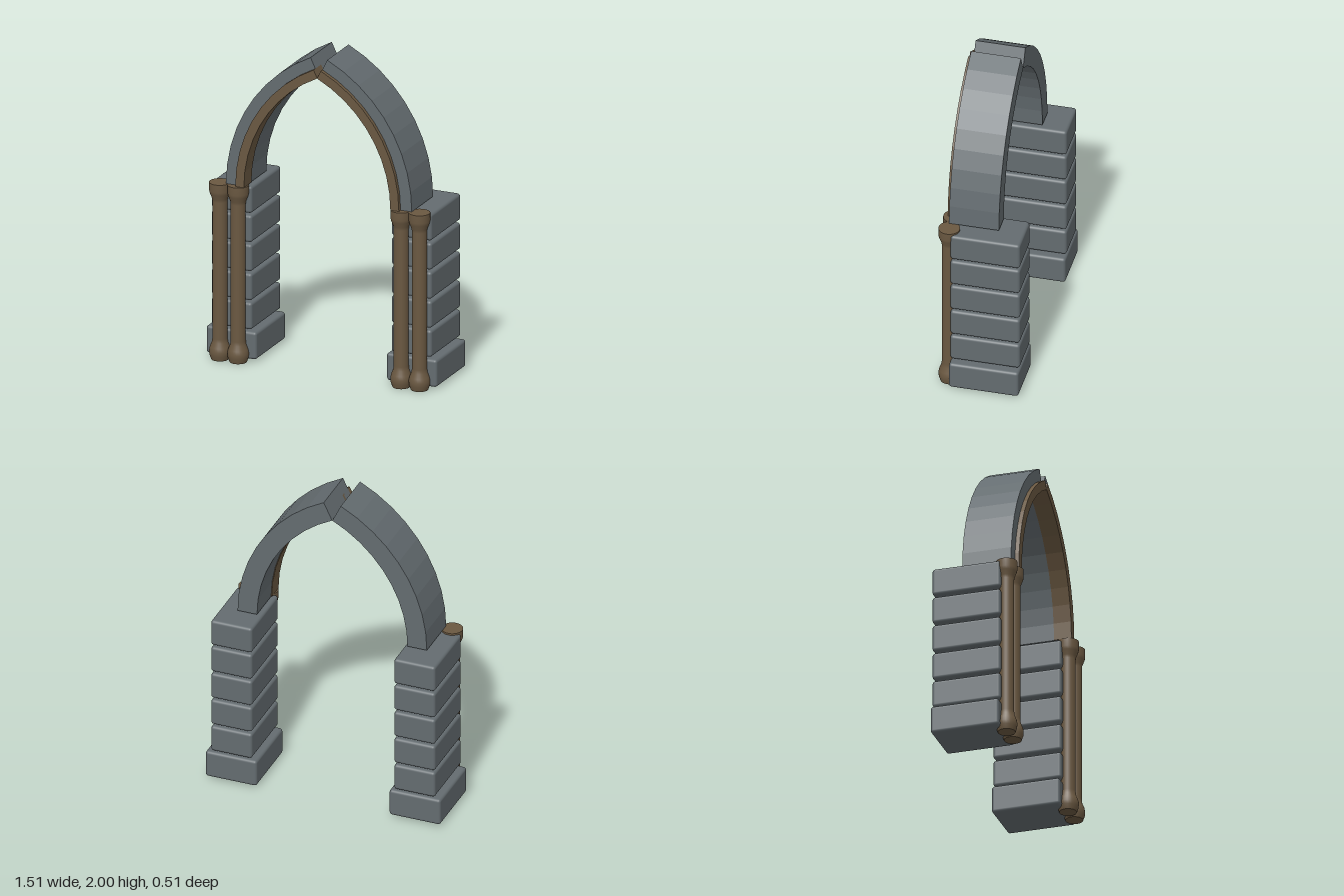
import * as THREE from 'three';
import { RoundedBoxGeometry } from 'three/addons/geometries/RoundedBoxGeometry.js';

const stone = new THREE.MeshStandardMaterial({ color: 0x646c70 });
stone.name = 'grey stone';
const wood = new THREE.MeshStandardMaterial({ color: 0x6a5841 });
wood.name = 'brown stone';

const SPRING = 1.12;                       // height where the arch starts
const CENTRE = -0.365;                     // arc centre of the +x half
const SWEEP = THREE.MathUtils.degToRad(64.5);
const COUNT = 9;                           // wedges in each half

function add(parent, name, geometry, material, x = 0, y = 0, z = 0) {
  const mesh = new THREE.Mesh(geometry, material);
  mesh.name = name;
  mesh.position.set(x, y, z);
  parent.add(mesh);
  return mesh;
}

// One straight-sided wedge of the arch; side is +1 or -1
function wedge(side, i, inner, outer, back, front) {
  const a = (SWEEP * i) / COUNT, b = (SWEEP * (i + 1)) / COUNT;
  const corner = (r, t) =>
    new THREE.Vector2(side * (CENTRE + r * Math.cos(t)), SPRING + r * Math.sin(t));
  const shape = new THREE.Shape([corner(inner, a), corner(outer, a), corner(outer, b), corner(inner, b)]);
  const geometry = new THREE.ExtrudeGeometry(shape, { depth: front - back, bevelEnabled: false });
  return geometry.translate(0, 0, back);
}

// Round shaft with a swelling foot and head
const columnProfile = [
  [0.053, 0], [0.063, 0.03], [0.065, 0.055], [0.06, 0.08], [0.048, 0.11], [0.045, 0.135],
  [0.045, 1.0], [0.048, 1.02], [0.06, 1.05], [0.065, 1.07], [0.065, SPRING],
].map(([r, y]) => new THREE.Vector2(r, y));

function column(parent, x, z) {
  const group = new THREE.Group();
  group.name = 'column';
  group.position.set(x, 0, z);
  add(group, 'columnShaft', new THREE.LatheGeometry(columnProfile, 28), wood);
  add(group, 'columnTop', new THREE.CircleGeometry(0.065, 28), wood, 0, SPRING, 0).rotation.x = -Math.PI / 2;
  add(group, 'columnBottom', new THREE.CircleGeometry(0.053, 28), wood).rotation.x = Math.PI / 2;
  parent.add(group);
}

export function createModel() {
  const model = new THREE.Group();
  model.name = 'pointedArch';

  for (const side of [1, -1]) {
    const half = new THREE.Group();
    half.name = side > 0 ? 'leftHalf' : 'rightHalf';
    model.add(half);

    // Pier: wide foot block and five stacked blocks
    add(half, 'pierFoot', new RoundedBoxGeometry(0.33, 0.173, 0.427, 3, 0.018), stone, side * 0.592, 0.102, -0.043);
    for (let i = 1; i < 6; i++) {
      add(half, 'pierBlock', new RoundedBoxGeometry(0.265, 0.17, 0.427, 3, 0.018), stone,
        side * 0.59, 0.102 + i * 0.1843, -0.043);
    }

    // Pair of columns in front of the pier
    for (const x of [0.535, 0.655]) column(half, side * x, 0.191);

    // Arch stones with a narrow rib along the inner front edge
    for (let i = 0; i < COUNT; i++) {
      add(half, 'archStone', wedge(side, i, 0.85, 0.975, -0.103, 0.203), stone);
      add(half, 'archRib', wedge(side, i, 0.846, 0.902, 0.12, 0.229), wood);
    }
  }
  return model;
}
